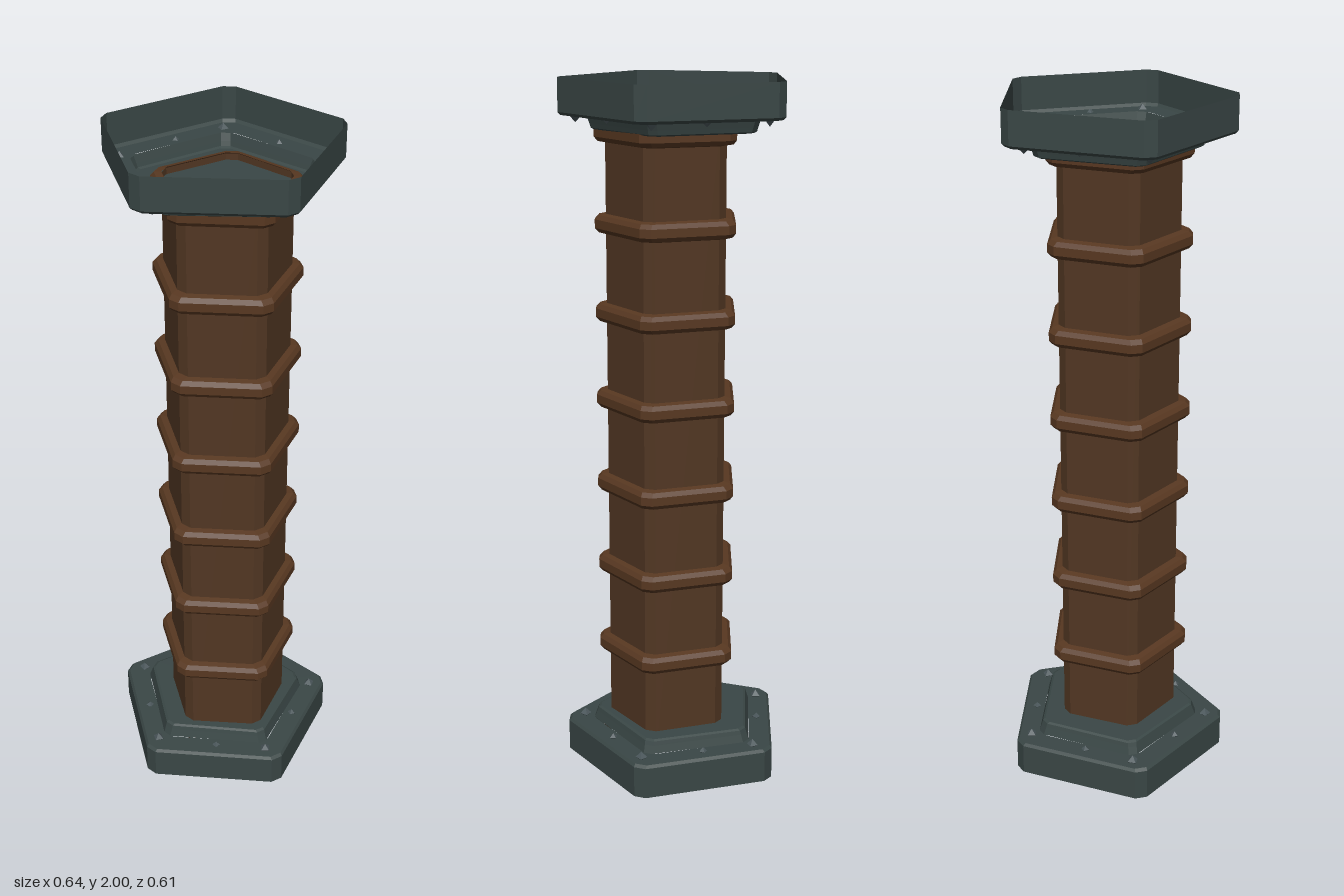
import * as THREE from 'three';

const paint = (name, color) => {
  const m = new THREE.MeshStandardMaterial({ color, side: THREE.DoubleSide, flatShading: true });
  m.name = name;
  return m;
};

// Pentagon outline with clipped corners, one corner pointing to +z
function outline(r, cut, turn) {
  const corner = (i) => {
    const a = (i * Math.PI * 2) / 5 + turn;
    return new THREE.Vector2(Math.sin(a) * r, Math.cos(a) * r);
  };
  const side = 2 * r * Math.sin(Math.PI / 5);
  const t = r > 0 ? cut / side : 0;
  const pts = [];
  for (let i = 0; i < 5; i++) {
    pts.push(corner(i).lerp(corner(i - 1), t), corner(i).lerp(corner(i + 1), t));
  }
  return pts;
}

// Skin a list of [radius, height] pentagon sections
function loft(sections, cut, turn = 0) {
  const pos = [];
  const loops = sections.map(([r, y]) =>
    outline(r, cut, turn).map((p) => new THREE.Vector3(p.x, y, p.y)));
  for (let s = 0; s < loops.length - 1; s++) {
    for (let i = 0; i < 10; i++) {
      const j = (i + 1) % 10;
      const [a, b, c, d] = [loops[s][i], loops[s][j], loops[s + 1][j], loops[s + 1][i]];
      for (const v of [a, b, c]) pos.push(v.x, v.y, v.z);
      if (sections[s + 1][0] > 0) for (const v of [a, c, d]) pos.push(v.x, v.y, v.z);
    }
  }
  const g = new THREE.BufferGeometry();
  g.setAttribute('position', new THREE.Float32BufferAttribute(pos, 3));
  g.computeVertexNormals();
  return g;
}

export function createModel() {
  const model = new THREE.Group();
  model.name = 'column';
  const wood = paint('shaft brown', 0x523723);
  const band = paint('band brown', 0x583821);
  const metal = paint('dark teal metal', 0x3a4746);
  const steel = paint('rivet steel', 0x4c585c);

  const add = (parent, name, geo, mat, x = 0, y = 0, z = 0) => {
    const m = new THREE.Mesh(geo, mat);
    m.name = name;
    m.position.set(x, y, z);
    parent.add(m);
    return m;
  };

  // Shaft and its evenly spaced bands
  add(model, 'shaft', loft([[0.189, 0.08], [0.189, 1.88]], 0.02), wood, 0, 0, -0.003);
  const bandGeo = loft([[0.188, -0.028], [0.21, -0.024], [0.221, -0.012],
    [0.221, 0.012], [0.21, 0.024], [0.188, 0.028]], 0.02);
  for (let i = 0; i < 8; i++) {
    add(model, 'band', bandGeo, band, 0, 0.104 + i * 0.25, -0.004);
  }

  // Hollow stepped foot, flipped over for the capital
  const trayGeo = loft([[0.343, 0], [0.343, 0.092], [0.335, 0.1], [0.262, 0.1]], 0.022, -0.018);
  const stepGeo = loft([[0.262, 0.1], [0.254, 0.122], [0.25, 0.134], [0.242, 0.138], [0, 0.138]],
    0.016, -0.035);
  const rivetGeo = new THREE.OctahedronGeometry(1);
  const makeFoot = (name) => {
    const foot = new THREE.Group();
    foot.name = name;
    add(foot, name + 'Tray', trayGeo, metal);
    add(foot, name + 'Step', stepGeo, metal);
    // Large rivets at the corners, small ones mid-side
    for (let i = 0; i < 10; i++) {
      const big = i % 2 === 0;
      const a = (i * Math.PI) / 5 - (big ? 0.065 : 0);
      const r = big ? 0.283 : 0.236;
      const rivet = add(foot, 'rivet', rivetGeo, steel, Math.sin(a) * r, 0.102, Math.cos(a) * r);
      rivet.scale.setScalar(big ? 0.017 : 0.012);
      rivet.rotation.y = big ? a + 0.3 : a;
    }
    foot.position.z = -0.028;
    model.add(foot);
    return foot;
  };
  makeFoot('base');
  const capital = makeFoot('capital');
  capital.rotation.z = Math.PI;
  capital.position.y = 2;
  return model;
}
